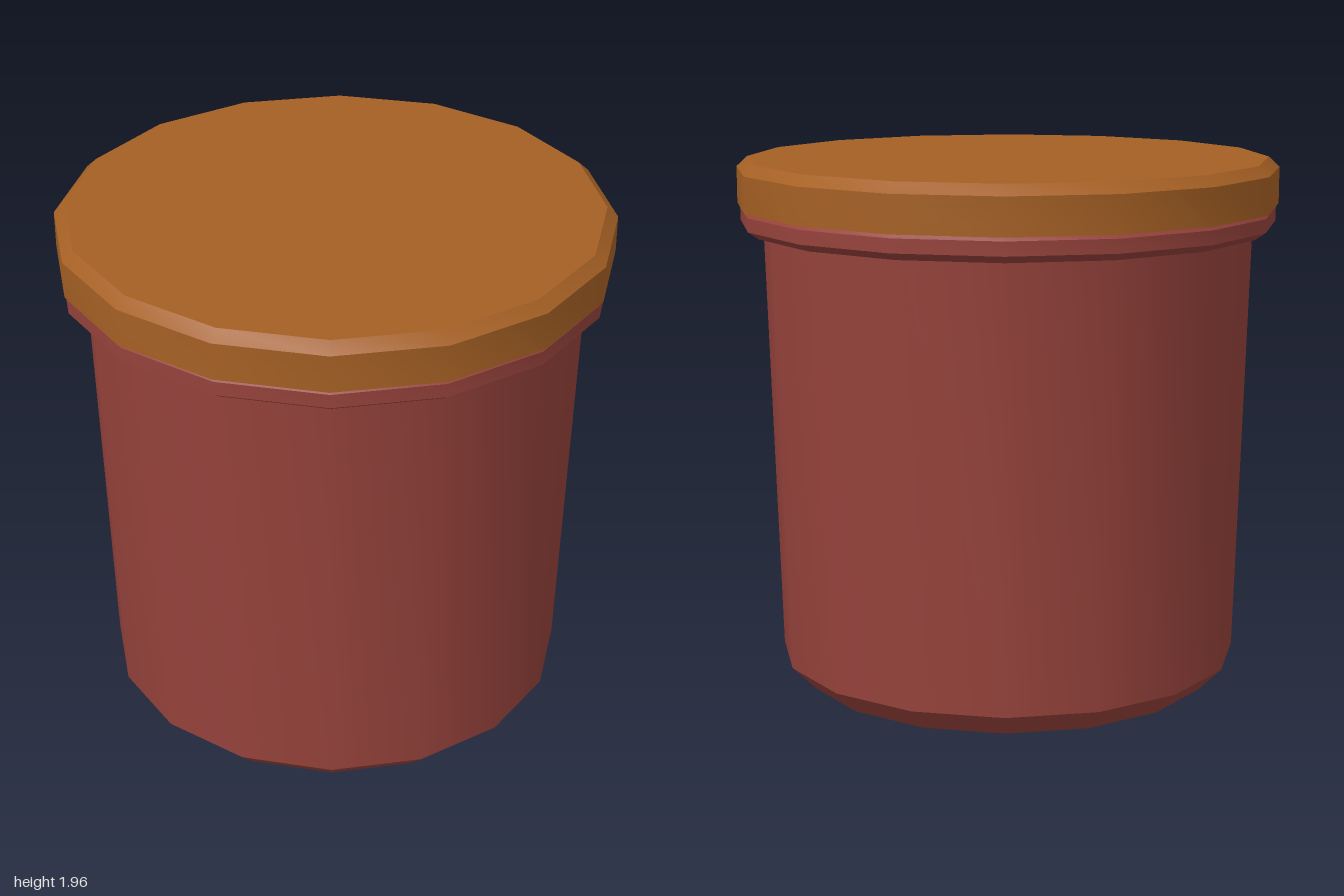
import * as THREE from 'three';
import { toCreasedNormals } from 'three/addons/utils/BufferGeometryUtils.js';

const SIDES = 16;

// Turned part: smooth around, sharp where the profile bends
function turned(name, profile, material) {
  const points = profile.map(([r, y]) => new THREE.Vector2(r, y));
  const geometry = toCreasedNormals(new THREE.LatheGeometry(points, SIDES), Math.PI / 6);
  const mesh = new THREE.Mesh(geometry, material);
  mesh.name = name;
  return mesh;
}

export function createModel() {
  const clay = new THREE.MeshStandardMaterial({ color: 0x96423b });
  clay.name = 'red clay';
  const wood = new THREE.MeshStandardMaterial({ color: 0xa56024 });
  wood.name = 'brown lid';

  const model = new THREE.Group();
  model.name = 'liddedPot';

  // Tapered body with a chamfered base
  model.add(turned('body', [[0, 0], [0.77, 0], [0.86, 0.09], [0.906, 1.71]], clay));

  // Rim collar, chamfered below and just under the lid
  model.add(turned('rim', [
    [0.9, 1.695], [0.95, 1.695], [0.99, 1.722], [0.99, 1.772], [0.975, 1.79],
  ], clay));

  // Flat lid with a bevelled top edge
  model.add(turned('lid', [
    [0, 1.786], [1, 1.786], [1, 1.92], [0.96, 1.957], [0, 1.957],
  ], wood));

  return model;
}
